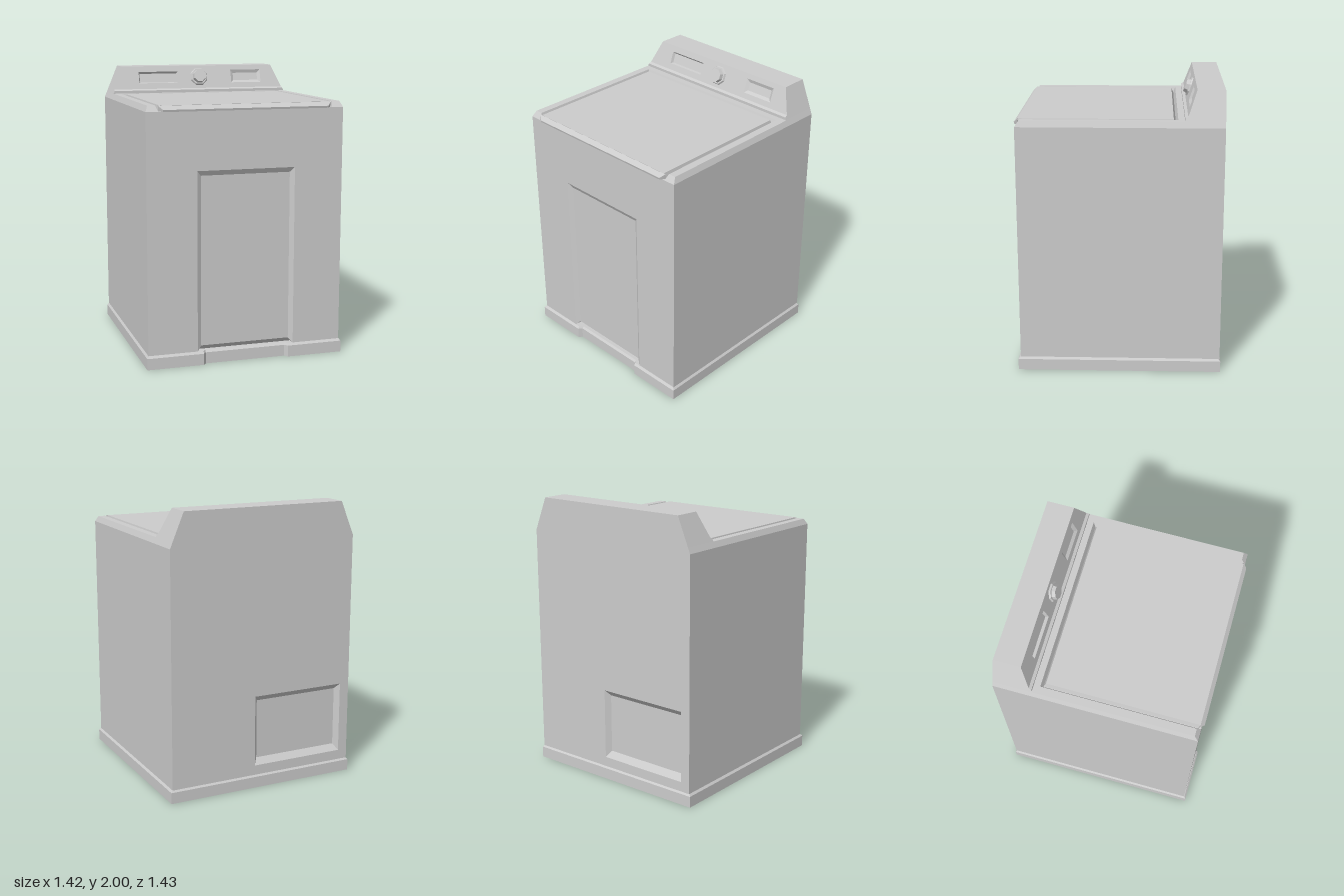
import * as THREE from 'three';
import { ConvexGeometry } from 'three/addons/geometries/ConvexGeometry.js';

const material = new THREE.MeshStandardMaterial({ color: 0xcccccc, flatShading: true });

function add(parent, name, geometry) {
  const mesh = new THREE.Mesh(geometry, material);
  mesh.name = name;
  parent.add(mesh);
  return mesh;
}

// Flat polygons, each a counter-clockwise list of points
function faces(polygons) {
  const positions = [];
  for (const p of polygons)
    for (let i = 1; i < p.length - 1; i++) positions.push(...p[0], ...p[i], ...p[i + 1]);
  const geometry = new THREE.BufferGeometry();
  geometry.setAttribute('position', new THREE.Float32BufferAttribute(positions, 3));
  geometry.computeVertexNormals();
  return geometry;
}

// Polygons joining successive rings, with optional end caps
function loft(rings, capStart = true, capEnd = true) {
  const polygons = [];
  for (let r = 0; r < rings.length - 1; r++) {
    const a = rings[r], b = rings[r + 1];
    a.forEach((p, i) => {
      const j = (i + 1) % a.length;
      polygons.push([p, a[j], b[j], b[i]]);
    });
  }
  if (capStart) polygons.push([...rings[0]].reverse());
  if (capEnd) polygons.push(rings[rings.length - 1]);
  return polygons;
}

// Rectangle rings: upright (facing z) and level (facing y)
const upright = (x0, x1, y0, y1, z) => [[x0, y0, z], [x1, y0, z], [x1, y1, z], [x0, y1, z]];
const level = (w, zBack, zFront, y) => [[-w, y, zBack], [-w, y, zFront], [w, y, zFront], [w, y, zBack]];

const hull = (points) => new ConvexGeometry(points.map((p) => new THREE.Vector3(...p)));

// Half width of the tapering top at a given height
const taper = (y) => 0.70 - (y - 1.76) * 0.417;

function addBase(group) {
  const ring = (x, z, notchZ, y) => [
    [-x, y, -z], [-x, y, z], [-0.31, y, z], [-0.29, y, notchZ],
    [0.29, y, notchZ], [0.31, y, z], [x, y, z], [x, y, -z],
  ];
  add(group, 'base', faces(loft([
    ring(0.712, 0.716, 0.69, 0),
    ring(0.712, 0.716, 0.69, 0.08),
    ring(0.70, 0.704, 0.678, 0.095),
  ])));
}

function addCabinet(group) {
  // Box with a sunken panel at the back and an opening at the front
  add(group, 'cabinet', faces(loft([
    upright(-0.60, 0.035, 0.21, 0.635, -0.675),
    upright(-0.63, 0.065, 0.165, 0.675, -0.71),
    upright(-0.70, 0.70, 0.095, 1.76, -0.71),
    upright(-0.70, 0.70, 0.095, 1.76, 0.70),
    upright(-0.35, 0.35, 0.095, 1.355, 0.70),
  ], true, false)));

  // Sunken front panel, undercut at the toe
  const [o0, o1, o2, o3] = upright(-0.35, 0.35, 0.095, 1.355, 0.70);
  const inner = upright(-0.32, 0.32, 0.13, 1.32, 0.68);
  const [i0, i1, i2, i3] = inner;
  const toeLeft = [-0.35, 0.095, 0.645], toeRight = [0.35, 0.095, 0.645];
  add(group, 'frontPanel', faces([
    inner,
    [o1, o2, i2, i1], [o2, o3, i3, i2], [o3, o0, i0, i3],
    [toeLeft, toeRight, i1, i0],
    [o0, toeLeft, i0], [toeRight, o1, i1],
  ]));
}

function addTop(group) {
  // Rails beside the lid
  for (const [side, name] of [[1, 'leftRail'], [-1, 'rightRail']]) {
    const points = [];
    for (const [x, y, zFront] of [[0.70, 1.76, 0.70], [0.615, 1.76, 0.70], [0.683, 1.80, 0.672], [0.63, 1.80, 0.672]])
      points.push([side * x, y, -0.395], [side * x, y, zFront]);
    add(group, name, hull(points));
  }

  // Deck behind the lid
  add(group, 'rearDeck', hull([
    ...level(0.70, -0.71, -0.38, 1.76),
    ...level(0.683, -0.71, -0.395, 1.80),
  ]));

  // Lid with its sloping front lip
  add(group, 'lid', hull([
    ...level(0.61, -0.38, 0.68, 1.76),
    ...level(0.60, -0.365, 0.69, 1.80),
  ]));
  const lip = [];
  for (const s of [-1, 1])
    lip.push([s * 0.615, 1.80, 0.688], [s * 0.585, 1.772, 0.716], [s * 0.585, 1.758, 0.712], [s * 0.61, 1.758, 0.68]);
  add(group, 'lidLip', hull(lip));
}

function addConsole(group) {
  const back = -0.71;
  const low = level(taper(1.83), back, -0.46, 1.83);
  const high = level(0.60, back, -0.52, 2);

  // Stepped foot, then sides, back and top
  const shell = loft([
    level(taper(1.80), back, -0.44, 1.80),
    level(taper(1.82), back, -0.44, 1.82),
    low,
  ], false, false);
  for (const i of [0, 2, 3]) {
    const j = (i + 1) % 4;
    shell.push([low[i], low[j], high[j], high[i]]);
  }
  shell.push(high);
  add(group, 'console', faces(shell));

  // Leaning control face, modelled in its own plane
  const panel = new THREE.Group();
  panel.name = 'controlPanel';
  panel.position.set(0, 1.83, -0.46);
  panel.rotation.x = -Math.atan2(0.06, 0.17);
  group.add(panel);

  const height = Math.hypot(0.06, 0.17), w = taper(1.83);
  const shape = new THREE.Shape([[-w, 0], [w, 0], [0.60, height], [-0.60, height]].map((p) => new THREE.Vector2(...p)));
  const recesses = [
    { name: 'display', x0: -0.475, x1: -0.165, y0: 0.045, y1: 0.135, bevel: 0.01, depth: 0.018 },
    { name: 'sidePocket', x0: 0.262, x1: 0.505, y0: 0.04, y1: 0.143, bevel: 0.022, depth: 0.014 },
  ];
  for (const { name, x0, x1, y0, y1, bevel: b, depth } of recesses) {
    const rim = upright(x0, x1, y0, y1, 0);
    shape.holes.push(new THREE.Path(rim.map((p) => new THREE.Vector2(p[0], p[1])).reverse()));
    add(panel, name, faces(loft([rim, upright(x0 + b, x1 - b, y0 + b, y1 - b, -depth)], false, true)));
  }
  add(panel, 'controlFace', new THREE.ShapeGeometry(shape));

  // Octagonal dial
  const disc = (name, rTop, rBottom, h, z) => {
    const geometry = new THREE.CylinderGeometry(rTop, rBottom, h, 8);
    geometry.rotateY(Math.PI / 8).rotateX(Math.PI / 2).translate(0, 0.09, z + h / 2);
    add(panel, name, geometry);
  };
  disc('dialCollar', 0.064, 0.071, 0.012, 0);
  disc('dialKnob', 0.048, 0.054, 0.028, 0.01);
}

export function createModel() {
  const group = new THREE.Group();
  group.name = 'washingMachine';
  addBase(group);
  addCabinet(group);
  addTop(group);
  addConsole(group);
  return group;
}
